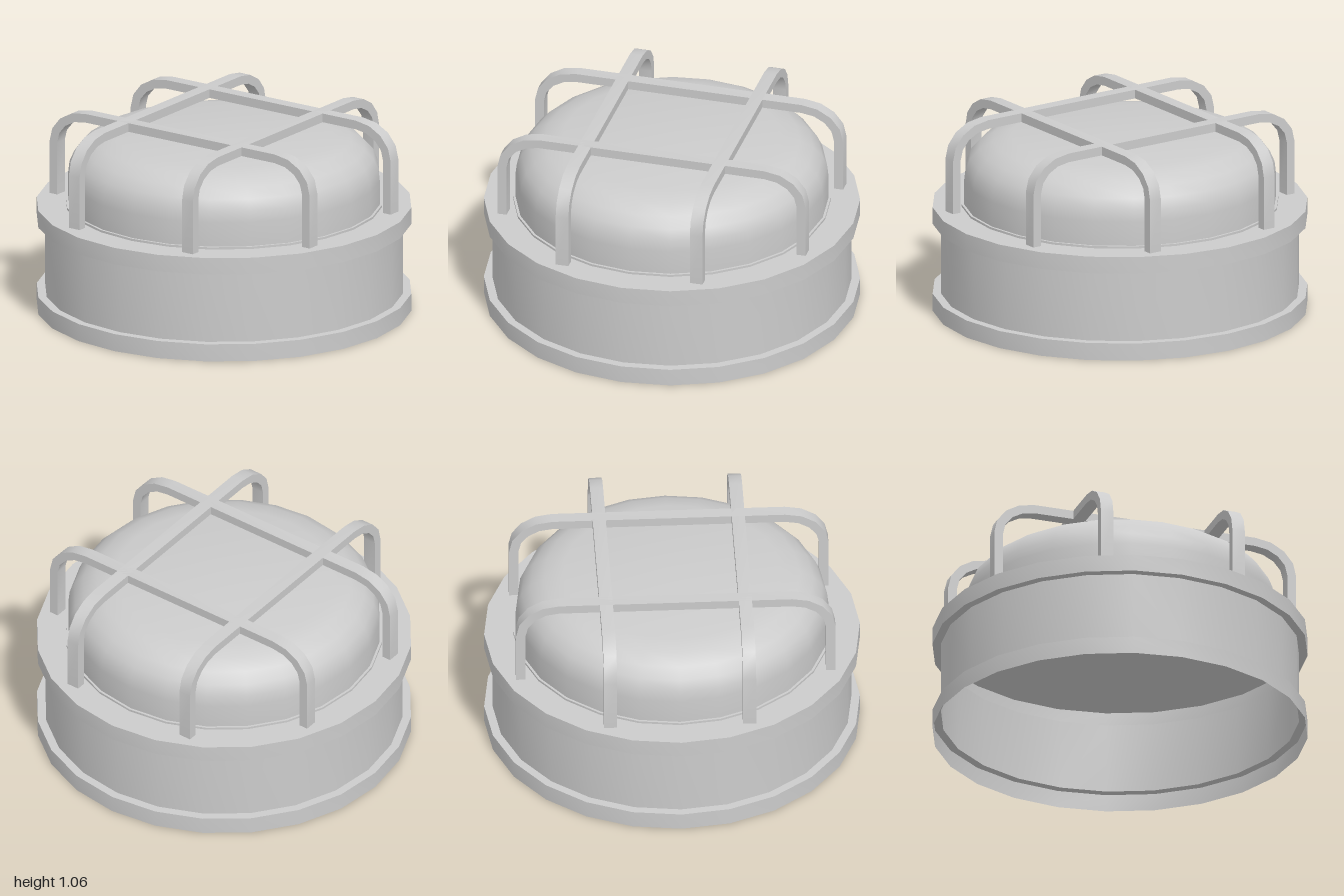
import * as THREE from 'three';
import { toCreasedNormals } from 'three/addons/utils/BufferGeometryUtils.js';

const SIDES = 24;
const DECK = 0.575; // height of the upper flange's top

const grey = new THREE.MeshStandardMaterial({ color: 0xcccccc });
const greyThin = new THREE.MeshStandardMaterial({ color: 0xcccccc, side: THREE.DoubleSide });

function addMesh(parent, name, geometry, material) {
  const mesh = new THREE.Mesh(toCreasedNormals(geometry, 0.6), material);
  mesh.name = name;
  parent.add(mesh);
}

function lathe(points) {
  return new THREE.LatheGeometry(points.map(([r, y]) => new THREE.Vector2(r, y)), SIDES);
}

// Arched strip: two legs, rounded shoulders and a flat top
function guardBarGeometry() {
  const cx = 0.62, cy = 0.865, width = 0.07;
  const s = new THREE.Shape();
  s.moveTo(0.85, DECK);
  s.lineTo(0.85, cy);
  s.absellipse(cx, cy, 0.23, 0.192, 0, Math.PI / 2, false);
  s.absellipse(-cx, cy, 0.23, 0.192, Math.PI / 2, Math.PI, false);
  s.lineTo(-0.85, DECK);
  s.lineTo(-0.8, DECK);
  s.absellipse(-cx, cy, 0.18, 0.144, Math.PI, Math.PI / 2, true);
  s.absellipse(cx, cy, 0.18, 0.144, Math.PI / 2, 0, true);
  s.lineTo(0.8, DECK);
  s.closePath();
  const g = new THREE.ExtrudeGeometry(s, { depth: width, bevelEnabled: false, curveSegments: 2 });
  return g.translate(0, 0, -width / 2);
}

export function createModel() {
  const model = new THREE.Group();
  model.name = 'cagedLamp';

  // Thin-walled housing with two flanges, open at the bottom
  addMesh(model, 'housing', lathe([
    [1, 0], [1, 0.095], [0.955, 0.095], [0.955, 0.483],
    [1, 0.483], [1, DECK], [0.83, DECK],
  ]), greyThin);

  // Lens dome set through the deck: flat base, narrow seat lip, wall, rounded shoulder, flat top
  addMesh(model, 'lensDome', lathe([
    [0, 0.52], [0.845, 0.52], [0.845, DECK + 0.012], [0.832, DECK + 0.012],
    [0.832, 0.72], [0.825, 0.78], [0.8, 0.838], [0.752, 0.89],
    [0.68, 0.932], [0.58, 0.955], [0, 0.955],
  ]), grey);

  // Guard cage: two bars each way
  const cage = new THREE.Group();
  cage.name = 'guardCage';
  model.add(cage);
  for (const turn of [0, Math.PI / 2]) {
    for (const offset of [-0.37, 0.37]) {
      const g = guardBarGeometry().translate(0, 0, offset).rotateY(turn);
      addMesh(cage, 'guardBar', g, grey);
    }
  }
  return model;
}
